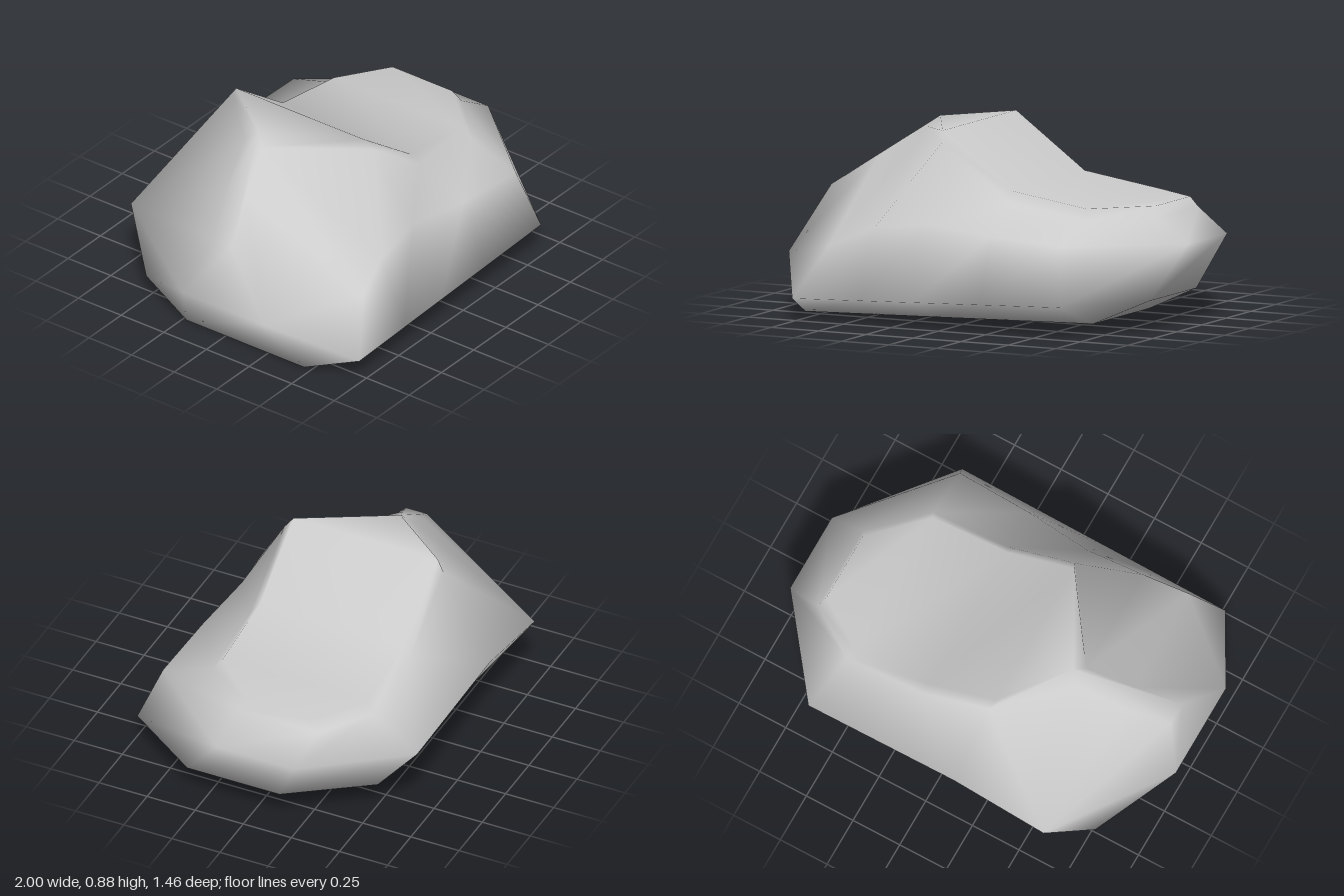
import * as THREE from 'three';
import { mergeVertices } from 'three/addons/utils/BufferGeometryUtils.js';

// Top plate: a peak on the left, then a front and a back edge running to the right
const PEAK = [-0.44, 0.88, -0.12];
const plateEdge = (z, zEnd) => [[-0.2, 0.88, z], [0.16, 0.62, z], [0.56, 0.56, z], [0.8, 0.56, zEnd]];
const plateFront = plateEdge(0.32, 0.08);
const plateBack = plateEdge(-0.43, -0.27);

// Bevel just below a plate edge
const bevel = (edge, dz) => edge.map(([x, y, z]) => [x + 0.02, y - 0.05, z + dz]);

// Straight line through the five inner stations
const straight = (p, q) => [0, 0.25, 0.45, 0.7, 1]
  .map((t) => p.map((v, k) => THREE.MathUtils.lerp(v, q[k], t)));

const BACK_CORNER = [-0.62, 0.34, -0.73]; // the back of the hump fans out from here

// Long lines from -x to +x, in order round the section, seven points each
const ROWS = [
  // base front
  [[-0.85, 0, 0.46], ...straight([-0.85, 0, 0.46], [0.63, 0.03, 0.39]), [0.9, 0.15, 0.34]],
  // front bulge
  [[-1, 0.26, 0.34], ...straight([-0.78, 0.1, 0.73], [0.63, 0.15, 0.73]), [0.9, 0.15, 0.34]],
  // front shoulder
  [[-1, 0.26, 0.34], [-0.63, 0.35, 0.64], [-0.42, 0.44, 0.59], [-0.14, 0.47, 0.56], [0.2, 0.44, 0.6],
    [0.58, 0.42, 0.62], [1, 0.4, 0.14]],
  // front bevel
  [[-0.91, 0.55, 0.08], [-0.7, 0.69, 0], [-0.48, 0.83, -0.07], ...bevel(plateFront, 0.04)],
  // plate
  [PEAK, PEAK, PEAK, ...plateFront],
  [PEAK, PEAK, PEAK, ...plateBack],
  // back bevel
  [[-0.91, 0.55, -0.03], [-0.71, 0.68, -0.11], [-0.48, 0.83, -0.17], ...bevel(plateBack, -0.04)],
  // back bulge
  [[-1, 0.26, -0.14], BACK_CORNER, BACK_CORNER, BACK_CORNER, [-0.14, 0.42, -0.73], [0.64, 0.4, -0.73], [1, 0.4, -0.26]],
  // back underside
  [[-1, 0.26, -0.14], ...straight([-0.78, 0.1, -0.52], [0.63, 0.15, -0.52]), [0.9, 0.15, -0.14]],
  // base back
  [[-0.85, 0, -0.23], ...straight([-0.85, 0, -0.23], [0.63, 0.03, -0.18]), [0.9, 0.15, -0.14]],
];

function boulderGeometry() {
  const n = ROWS.length, last = ROWS[0].length - 1;
  const positions = [];
  const same = (p, q) => p.every((v, k) => Math.abs(v - q[k]) < 1e-6);
  const tri = (a, b, c) => {
    if (!same(a, b) && !same(b, c) && !same(a, c)) positions.push(...a, ...b, ...c);
  };
  const quad = (a, b, c, d) => { tri(a, b, c); tri(a, c, d); };

  // Skin round the section
  for (let j = 0; j < n; j++) {
    const lower = ROWS[j], upper = ROWS[(j + 1) % n];
    for (let i = 0; i < last; i++) quad(lower[i], lower[i + 1], upper[i + 1], upper[i]);
  }
  // Blunt ends, closed strip by strip from base to crest
  for (let j = 0; j < n / 2 - 1; j++) {
    const [f0, f1, b0, b1] = [ROWS[j], ROWS[j + 1], ROWS[n - 1 - j], ROWS[n - 2 - j]];
    quad(f0[last], b0[last], b1[last], f1[last]);
    quad(b0[0], f0[0], f1[0], b1[0]);
  }

  const soup = new THREE.BufferGeometry();
  soup.setAttribute('position', new THREE.Float32BufferAttribute(positions, 3));
  const geometry = mergeVertices(soup, 1e-4);
  geometry.computeVertexNormals();
  return geometry;
}

export function createModel() {
  const group = new THREE.Group();
  group.name = 'rock';
  const boulder = new THREE.Mesh(boulderGeometry(), new THREE.MeshStandardMaterial({ color: 0xcccccc }));
  boulder.name = 'boulder';
  group.add(boulder);
  return group;
}
